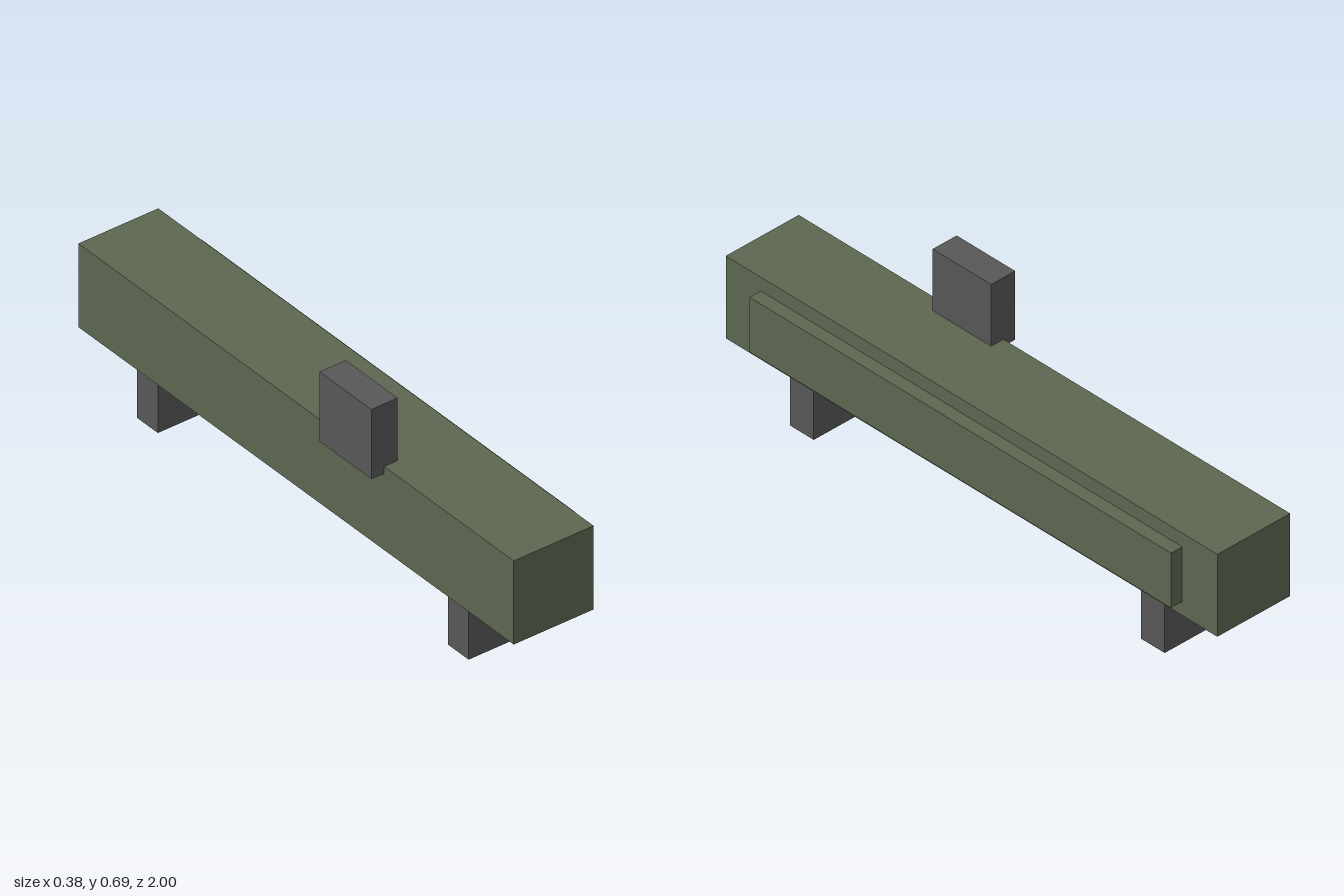
import * as THREE from 'three';

export function createModel() {
  const model = new THREE.Group();
  const green = new THREE.MeshStandardMaterial({ color: 0x5c6650 });
  green.name = 'olive green';
  const grey = new THREE.MeshStandardMaterial({ color: 0x575757 });
  grey.name = 'dark grey';

  // Adds a box given its lower and upper corners
  const box = (name, material, min, max) => {
    const size = max.map((v, i) => v - min[i]);
    const mesh = new THREE.Mesh(new THREE.BoxGeometry(...size), material);
    mesh.position.set(...max.map((v, i) => (v + min[i]) / 2));
    mesh.name = name;
    model.add(mesh);
  };

  // Long main beam
  box('beam', green, [-0.142, 0.191, -1], [0.143, 0.477, 1]);

  // Raised panel along the left side
  box('sidePanel', green, [0.13, 0.239, -0.857], [0.187, 0.429, 0.857]);

  // Upright block on the top right edge
  box('topBlock', grey, [-0.188, 0.453, 0.167], [-0.094, 0.691, 0.405]);

  // Front and back feet
  for (const [name, z] of [['frontFoot', 0.714], ['backFoot', -0.714]]) {
    box(name, grey, [-0.118, 0, z - 0.048], [0.12, 0.2, z + 0.048]);
  }

  return model;
}
